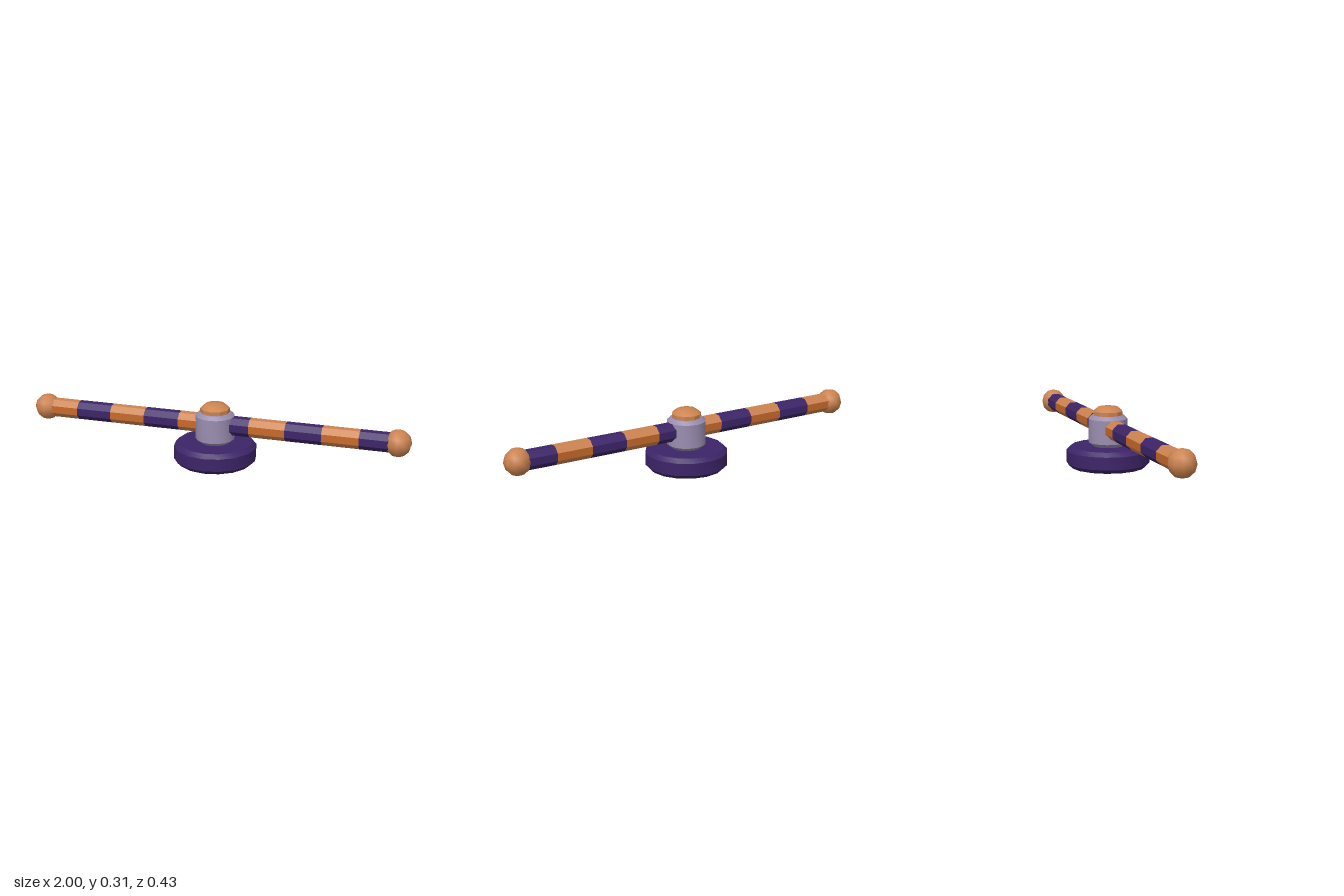
import * as THREE from 'three';
import { toCreasedNormals } from 'three/addons/utils/BufferGeometryUtils.js';

const AXIS_Y = 0.201;

function material(name, color) {
  const m = new THREE.MeshStandardMaterial({ color });
  m.name = name;
  return m;
}

// Turned part from [radius, y] points, listed bottom to top
function turned(name, profile, sides, mat) {
  const points = profile.map(([r, y]) => new THREE.Vector2(r, y));
  const geometry = toCreasedNormals(new THREE.LatheGeometry(points, sides), 0.6);
  const mesh = new THREE.Mesh(geometry, mat);
  mesh.name = name;
  return mesh;
}

export function createModel() {
  const purple = material('deep purple', 0x3d2468);
  const lavender = material('lavender grey', 0x9a8db0);
  const copper = material('pale copper', 0xcc8350);
  const orange = material('burnt orange', 0xc8692a);

  const model = new THREE.Group();
  model.name = 'stripedHandle';

  // Chamfered foot, hub and domed cap
  model.add(
    turned('base', [[0, 0], [0.192, 0], [0.213, 0.021], [0.213, 0.086], [0.192, 0.107], [0, 0.107]], 16, purple),
    turned('hub', [[0, 0.107], [0.076, 0.107], [0.1, 0.127], [0.1, 0.249], [0.082, 0.267], [0, 0.267]], 16, lavender),
    turned('cap', [[0.076, 0.262], [0.076, 0.287], [0.05, 0.308], [0, 0.315]], 10, copper)
  );

  // Octagonal bar made of ten alternating stripes
  const bar = new THREE.Group();
  bar.name = 'bar';
  const count = 10;
  const width = 1.87 / count;
  for (let i = 0; i < count; i++) {
    let geometry = new THREE.CylinderGeometry(0.05, 0.05, width, 8, 1, true, -Math.PI / 8);
    geometry.rotateZ(Math.PI / 2);
    geometry = toCreasedNormals(geometry, 0.3);
    let mat = purple;
    if (i % 2 === 0) {
      // Orange stripes are richer on the front and back faces
      geometry.clearGroups();
      for (let f = 0; f < 8; f++) geometry.addGroup(f * 6, 6, f % 4 === 0 ? 1 : 0);
      mat = [copper, orange];
    }
    const stripe = new THREE.Mesh(geometry, mat);
    stripe.name = 'stripe' + (i + 1);
    stripe.position.set((i - (count - 1) / 2) * width, AXIS_Y, 0);
    bar.add(stripe);
  }
  model.add(bar);

  // Ball ends
  for (const side of [-1, 1]) {
    const ball = new THREE.Mesh(new THREE.SphereGeometry(0.068, 10, 6, Math.PI / 2), copper);
    ball.name = side > 0 ? 'leftBall' : 'rightBall';
    ball.position.set(side * 0.935, AXIS_Y, 0);
    model.add(ball);
  }

  return model;
}
